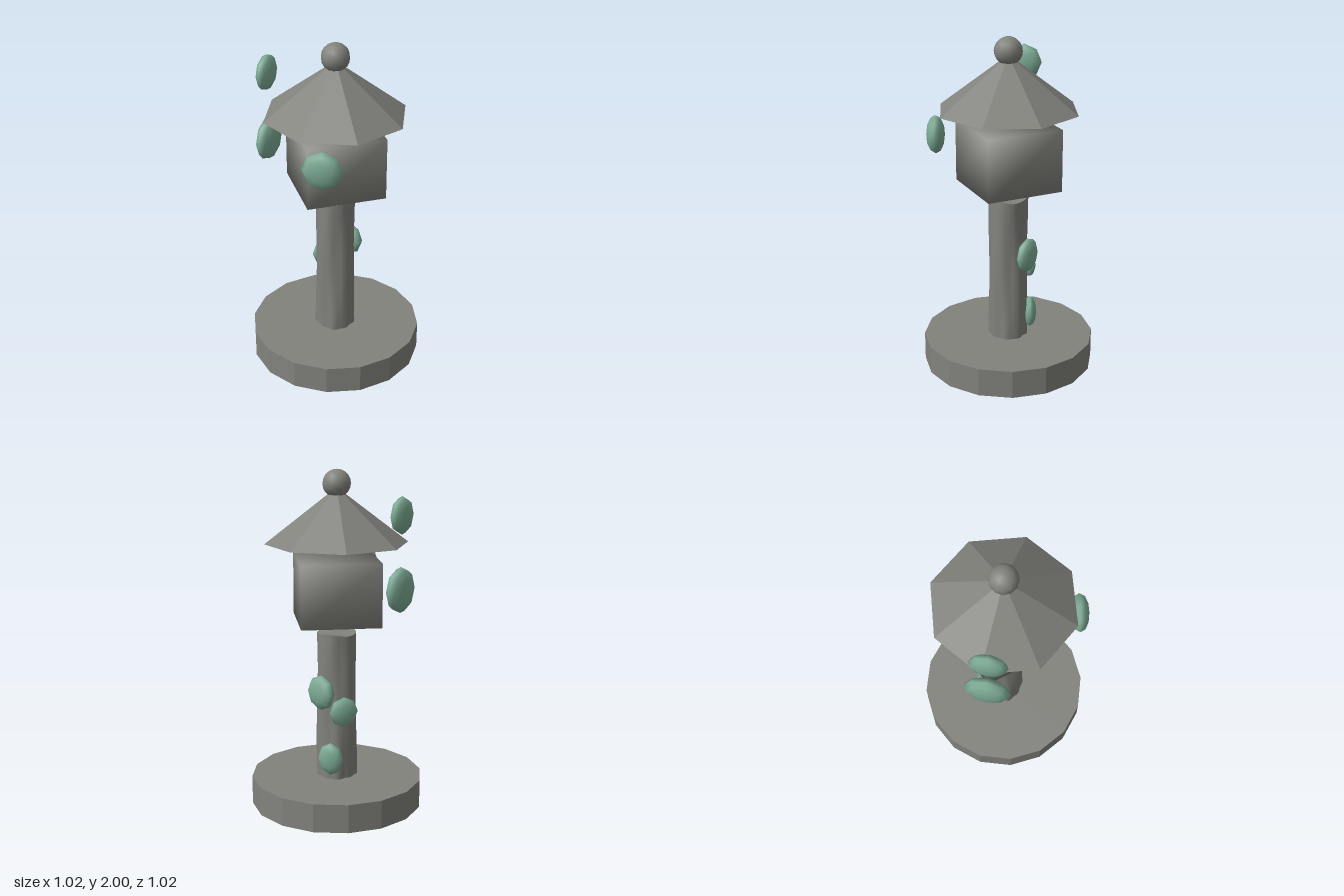
import * as THREE from 'three';
import { mergeVertices } from 'three/addons/utils/BufferGeometryUtils.js';

const STONE_COLOR = 0x82827d;
const stone = new THREE.MeshStandardMaterial({ color: STONE_COLOR });
const stoneFlat = new THREE.MeshStandardMaterial({ color: STONE_COLOR, flatShading: true });
const moss = new THREE.MeshStandardMaterial({ color: 0x7dab95 });

function addPart(group, name, geometry, material, x, y, z) {
  const mesh = new THREE.Mesh(geometry, material);
  mesh.name = name;
  mesh.position.set(x, y, z);
  group.add(mesh);
  return mesh;
}

// Weathered pillar: a cylinder with twisting ridges, deeper near the foot, and an uneven top rim
function pillarGeometry(height) {
  const geo = new THREE.CylinderGeometry(0.113, 0.115, height, 32, 12);
  const pos = geo.attributes.position;
  for (let i = 0; i < pos.count; i++) {
    const x = pos.getX(i), y = pos.getY(i), z = pos.getZ(i);
    const a = Math.atan2(x, z);
    const depth = 0.035 - 0.03 * (y / height);
    const s = 1 + depth * Math.sin(9 * a + 3 * y) + 0.03 * Math.sin(4 * a - 6 * y);
    const rim = y > height / 2 - 0.001 && Math.hypot(x, z) > 0.01;
    pos.setXYZ(i, x * s, y + (rim ? 0.007 * Math.sin(3 * a) : 0), z * s);
  }
  geo.deleteAttribute('uv');
  const merged = mergeVertices(geo);
  merged.computeVertexNormals();
  return merged;
}

// Lamp box whose normals point out from its centre, for soft even shading
function softBox(w, h, d) {
  const geo = new THREE.BoxGeometry(w, h, d);
  const { position, normal } = geo.attributes;
  const n = new THREE.Vector3();
  for (let i = 0; i < position.count; i++) {
    n.set(Math.sign(position.getX(i)), Math.sign(position.getY(i)), Math.sign(position.getZ(i))).normalize();
    normal.setXYZ(i, n.x, n.y, n.z);
  }
  return geo;
}

export function createModel() {
  const group = new THREE.Group();
  group.name = 'stoneLantern';

  addPart(group, 'base', new THREE.CylinderGeometry(0.512, 0.512, 0.17, 16), stoneFlat, 0, 0.085, 0);
  addPart(group, 'pillar', pillarGeometry(0.89), stone, 0, 0.605, 0);
  addPart(group, 'lampBox', softBox(0.464, 0.37, 0.464), stone, 0, 1.305, 0);
  addPart(group, 'roof', new THREE.ConeGeometry(0.418, 0.32, 8), stoneFlat, 0, 1.737, 0);
  addPart(group, 'finial', new THREE.SphereGeometry(0.082, 12, 10), stone, 0, 1.918, 0);

  // Flattened moss clumps facing outward: x, y, z, half width, half height, half thickness
  const clumps = [
    [-0.186, 1.43, 0.375, 0.115, 0.115, 0.054],
    [-0.325, 1.347, -0.272, 0.132, 0.132, 0.056],
    [-0.33, 1.765, -0.262, 0.107, 0.107, 0.047],
    [0.102, 0.703, -0.077, 0.102, 0.105, 0.047],
    [-0.025, 0.595, -0.13, 0.087, 0.09, 0.037],
    [0.052, 0.302, -0.12, 0.078, 0.1, 0.04],
  ];
  const clumpGeo = new THREE.SphereGeometry(1, 8, 6).rotateX(Math.PI / 2);
  clumps.forEach(([x, y, z, w, h, t], i) => {
    const mesh = addPart(group, 'mossClump' + (i + 1), clumpGeo, moss, x, y, z);
    mesh.scale.set(w, h, t);
    mesh.rotation.y = Math.atan2(x, z);
  });
  return group;
}
